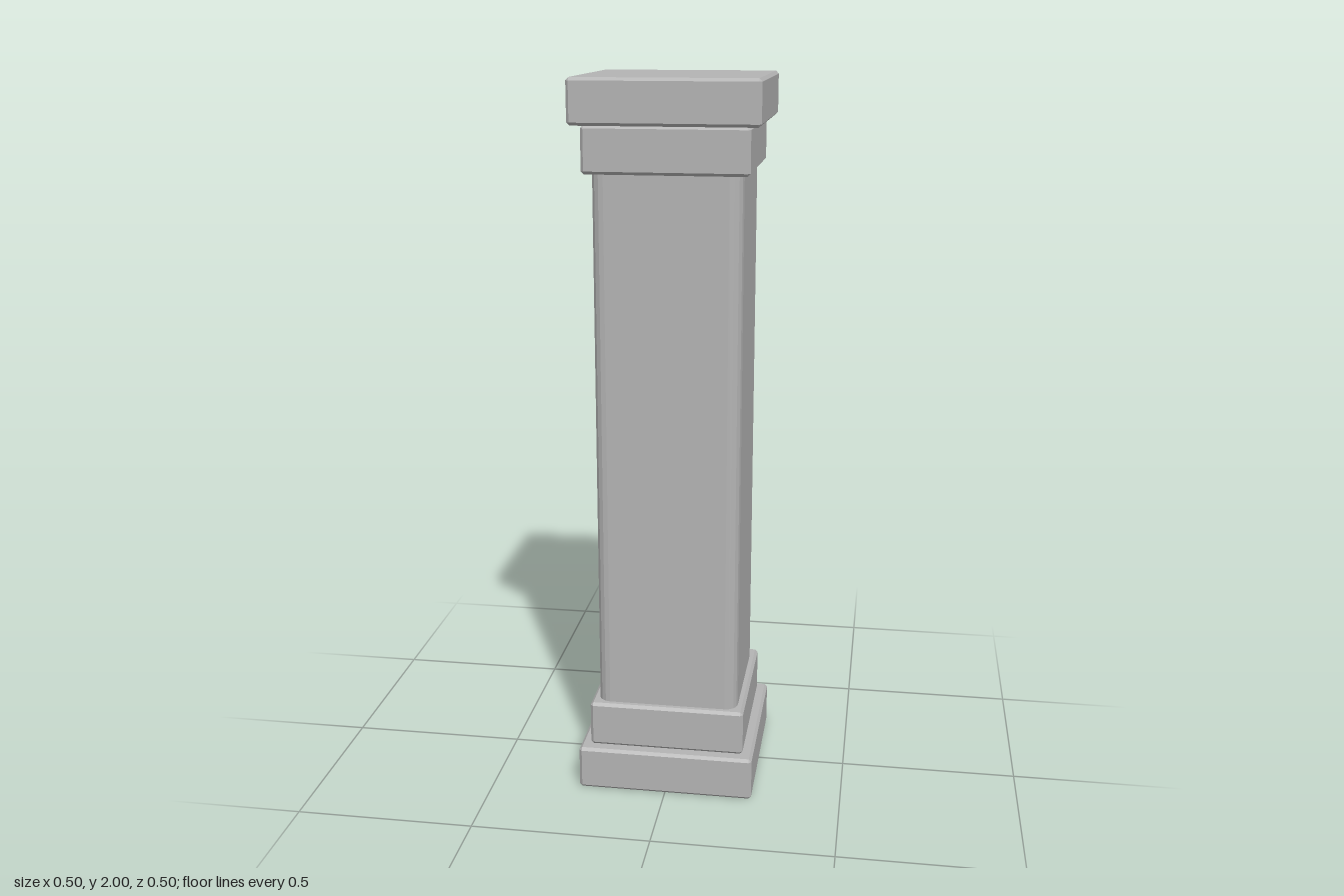
import * as THREE from 'three';
import { ConvexGeometry } from 'three/addons/geometries/ConvexGeometry.js';

// Box with every edge and corner cut by a single chamfer
function chamferBox(w, h, c) {
  const points = [];
  const half = [w / 2, h / 2, w / 2];
  for (const sx of [-1, 1]) for (const sy of [-1, 1]) for (const sz of [-1, 1])
    for (let outer = 0; outer < 3; outer++) {
      const p = half.map((v, i) => (i === outer ? v : v - c));
      points.push(new THREE.Vector3(sx * p[0], sy * p[1], sz * p[2]));
    }
  return new ConvexGeometry(points);
}

// Square outline with rounded corners
function roundedSquare(a, r) {
  const s = new THREE.Shape();
  const k = a - r;
  s.absarc(k, k, r, 0, Math.PI / 2);
  s.absarc(-k, k, r, Math.PI / 2, Math.PI);
  s.absarc(-k, -k, r, Math.PI, Math.PI * 1.5);
  s.absarc(k, -k, r, Math.PI * 1.5, Math.PI * 2);
  s.closePath();
  return s;
}

export function createModel() {
  const model = new THREE.Group();
  model.name = 'column';

  const stone = new THREE.MeshStandardMaterial({ color: 0xb4b4b4 });
  stone.name = 'greyStone';

  // Stepped base and capital: name, width, bottom, top
  const blocks = [
    ['basePlinth', 0.498, 0, 0.125],
    ['baseStep', 0.44, 0.125, 0.255],
    ['capitalStep', 0.44, 1.755, 1.88],
    ['capitalSlab', 0.498, 1.88, 2],
  ];
  for (const [name, width, y0, y1] of blocks) {
    const block = new THREE.Mesh(chamferBox(width, y1 - y0, 0.008), stone);
    block.name = name;
    block.position.y = (y0 + y1) / 2;
    model.add(block);
  }

  // Shaft with eased vertical edges, seated between the steps
  const shaftGeometry = new THREE.ExtrudeGeometry(roundedSquare(0.2, 0.035), {
    depth: 1.5, bevelEnabled: false, curveSegments: 2,
  });
  shaftGeometry.rotateX(-Math.PI / 2);
  const shaft = new THREE.Mesh(shaftGeometry, stone);
  shaft.name = 'shaft';
  shaft.position.y = 0.255;
  model.add(shaft);

  return model;
}
